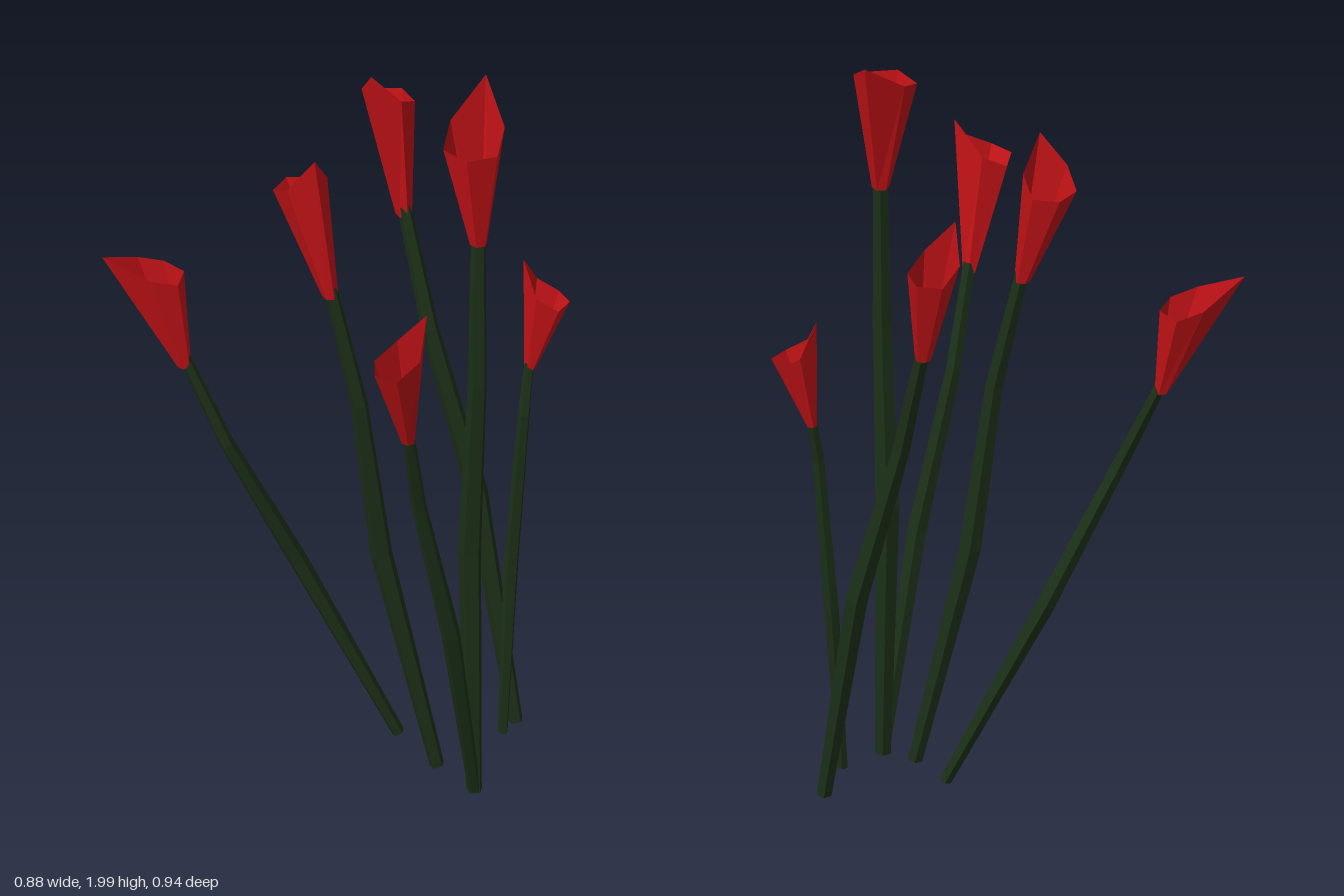
import * as THREE from 'three';

const red = new THREE.MeshStandardMaterial({ color: 0xc01216, flatShading: true, side: THREE.DoubleSide });
const green = new THREE.MeshStandardMaterial({ color: 0x1b2f17, flatShading: true });
const vec = (x, y, z) => new THREE.Vector3(x, y, z);

// Skin a stack of rings, each counterclockwise seen from above
function loft(rings, capped) {
  const n = rings[0].length;
  const index = [];
  for (let r = 0; r < rings.length - 1; r++) {
    for (let i = 0; i < n; i++) {
      const a = r * n + i, b = r * n + (i + 1) % n;
      index.push(a, b, b + n, a, b + n, a + n);
    }
  }
  if (capped) {
    const top = (rings.length - 1) * n;
    for (let i = 1; i < n - 1; i++) index.push(0, i + 1, i, top, top + i, top + i + 1);
  }
  const geometry = new THREE.BufferGeometry().setFromPoints(rings.flat());
  geometry.setIndex(index);
  geometry.computeVertexNormals();
  return geometry;
}

// Horizontal polygon around the origin, running counterclockwise from above
function polygon(sides, radius, start) {
  return Array.from({ length: sides }, (_, k) => {
    const a = start - k / sides * Math.PI * 2;
    return vec(Math.cos(a) * radius, 0, Math.sin(a) * radius);
  });
}

// Five-sided stem, thickest below the middle, with rings square to its path
function stemGeometry(path, thickness) {
  const profile = [0.016, 0.024, 0.019, 0.015];
  const rings = path.map((p, i) => {
    const before = path[Math.max(i - 1, 0)], after = path[Math.min(i + 1, path.length - 1)];
    const tangent = after.clone().sub(before).normalize();
    const turn = new THREE.Quaternion().setFromUnitVectors(vec(0, 1, 0), tangent);
    return polygon(5, profile[i] * thickness, 0).map(v => v.applyQuaternion(turn).add(p));
  });
  return loft(rings, true);
}

// Open six-sided bud whose rim sweeps up to one pointed petal
function budGeometry(base, center, radius, peak, thickness) {
  const start = Math.atan2(peak.z - center.z, peak.x - center.x);
  const lower = polygon(6, 0.017 * thickness, start).map(v => v.add(base).add(vec(0, -0.025, 0)));
  const rim = polygon(6, radius, start).map(v => v.add(center));
  rim[0].copy(peak);
  for (const neighbour of [rim[1], rim[5]]) neighbour.y += (peak.y - center.y) * 0.3;
  return loft([lower, rim], false);
}

function createFlower(name, thickness, path, center, radius, peak) {
  const flower = new THREE.Group();
  flower.name = name;
  const stem = new THREE.Mesh(stemGeometry(path, thickness), green);
  stem.name = 'stem';
  const bud = new THREE.Mesh(budGeometry(path[path.length - 1], center, radius, peak, thickness), red);
  bud.name = 'bud';
  flower.add(stem, bud);
  return flower;
}

export function createModel() {
  const model = new THREE.Group();
  model.name = 'flowers';
  // Each flower: thickness, stem path, then bud rim center, rim radius and petal tip
  model.add(
    createFlower('tallFlower', 1.25,
      [vec(0.23, 0.01, -0.12), vec(0.225, 0.7, -0.11), vec(0.263, 1.2, -0.1), vec(0.255, 1.62, -0.11)],
      vec(0.25, 1.88, -0.1), 0.077, vec(0.18, 2, -0.207)),
    createFlower('leftFrontFlower', 1,
      [vec(0.235, 0.02, -0.115), vec(0.295, 0.55, 0.02), vec(0.3, 0.97, 0.13), vec(0.335, 1.23, 0.2)],
      vec(0.38, 1.475, 0.28), 0.063, vec(0.4, 1.6, 0.2)),
    createFlower('rightBackFlower', 1.17,
      [vec(0.115, 0.04, -0.367), vec(0, 0.65, -0.35), vec(-0.1, 1.1, -0.29), vec(-0.18, 1.42, -0.28)],
      vec(-0.252, 1.675, -0.298), 0.064, vec(-0.23, 1.79, -0.22)),
    createFlower('middleFlower', 1.15,
      [vec(0.122, 0.04, -0.1), vec(0.035, 0.65, 0), vec(0.02, 1.1, 0.06), vec(-0.033, 1.43, 0.105)],
      vec(-0.104, 1.69, 0.137), 0.065, vec(-0.037, 1.81, 0.153)),
    createFlower('rightFrontFlower', 1,
      [vec(-0.022, 0.06, -0.11), vec(-0.17, 0.57, 0.08), vec(-0.24, 0.95, 0.25), vec(-0.318, 1.19, 0.315)],
      vec(-0.372, 1.415, 0.352), 0.066, vec(-0.434, 1.495, 0.477)),
    createFlower('smallBackFlower', 0.78,
      [vec(0.157, 0.065, -0.285), vec(0.145, 0.53, -0.325), vec(0.163, 0.95, -0.35), vec(0.155, 1.09, -0.376)],
      vec(0.176, 1.25, -0.416), 0.053, vec(0.135, 1.37, -0.375)),
  );
  return model;
}
